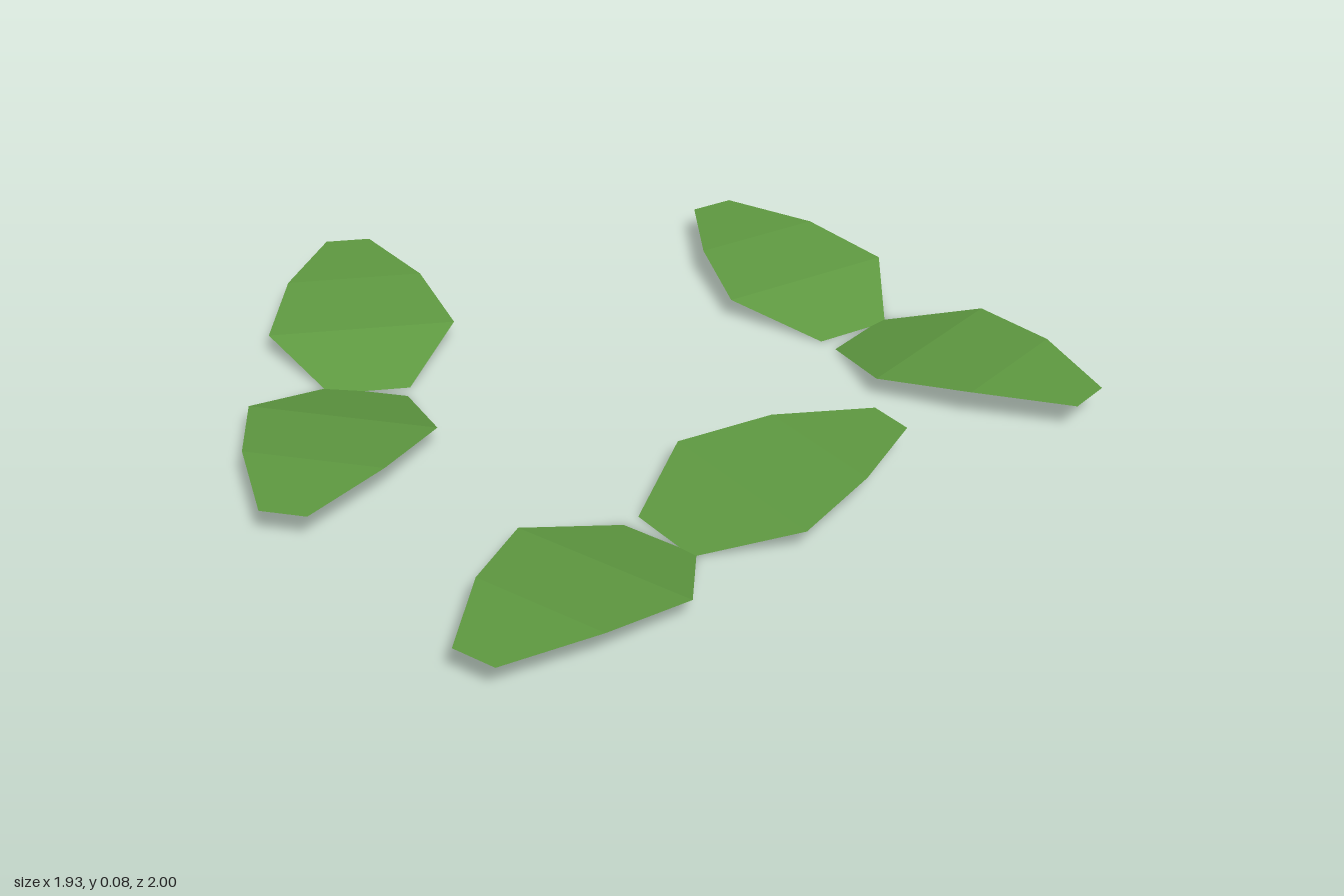
import * as THREE from 'three';

// Leaf cross-sections from base to tip: half width, distance along, height
const ROWS = [
  [0.1, 0, 0],
  [0.235, 0.217, 0.056],
  [0.172, 0.449, 0.078],
  [0.057, 0.675, 0.074],
];

// Three pairs of leaves: base x, base z, heading in degrees (0 points to -z)
const LEAVES = [
  [0.57, 0.305, -9], [0.57, 0.322, 189],
  [0.262, -0.722, 75.5], [0.28, -0.72, -85.3],
  [-0.39, 0.355, 54], [-0.388, 0.36, 213],
];

function leafGeometry() {
  const positions = [], index = [];
  ROWS.forEach(([w, d, h], i) => {
    positions.push(-w, h, -d, w, h, -d);
    if (i > 0) {
      const a = 2 * (i - 1);
      index.push(a, a + 1, a + 3, a, a + 3, a + 2);
    }
  });
  const indexed = new THREE.BufferGeometry();
  indexed.setAttribute('position', new THREE.Float32BufferAttribute(positions, 3));
  indexed.setIndex(index);
  const geometry = indexed.toNonIndexed(); // separate faces keep the folds sharp
  geometry.computeVertexNormals();
  return geometry;
}

export function createModel() {
  const model = new THREE.Group();
  model.name = 'leafPairs';
  const green = new THREE.MeshStandardMaterial({ color: 0x5f9a41, side: THREE.DoubleSide, flatShading: true });
  green.name = 'leaf green';
  const geometry = leafGeometry();

  LEAVES.forEach(([x, z, heading], i) => {
    const leaf = new THREE.Mesh(geometry, green);
    leaf.name = `leaf${i + 1}`;
    leaf.position.set(x, 0, z);
    leaf.rotation.y = THREE.MathUtils.degToRad(heading);
    model.add(leaf);
  });
  return model;
}
